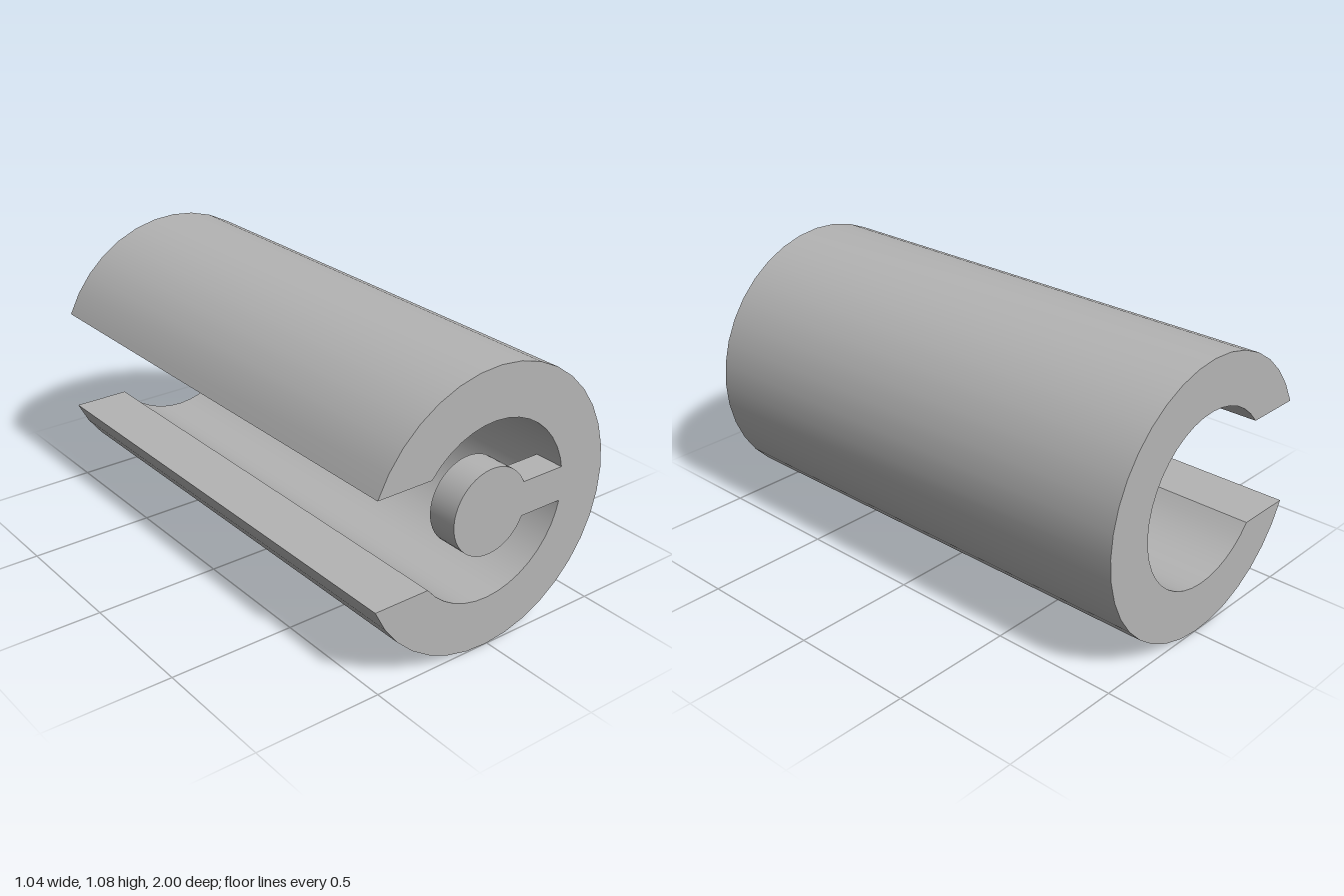
import * as THREE from 'three';
import { toCreasedNormals } from 'three/addons/utils/BufferGeometryUtils.js';

const OUTER = 0.54, INNER = 0.342, CORE = 0.166;
const SLOT = 0.208; // half height of the open slot
const WEB = 0.067; // half height of the web holding the core
const LENGTH = 2, CORE_DEPTH = 0.12;

// Extrude a profile along z with smooth curved walls and sharp edges
function extrude(shape, depth, curveSegments, material, name) {
  const geometry = new THREE.ExtrudeGeometry(shape, { depth, curveSegments, bevelEnabled: false });
  const mesh = new THREE.Mesh(toCreasedNormals(geometry, 0.5), material);
  mesh.name = name;
  return mesh;
}

export function createModel() {
  const group = new THREE.Group();
  group.name = 'slottedTube';
  const grey = new THREE.MeshStandardMaterial({ color: 0xb4b4b4 });
  grey.name = 'grey';

  // Tube: C-shaped ring with parallel slot walls, open towards -x
  const outerEnd = Math.PI - Math.asin(SLOT / OUTER);
  const innerEnd = Math.PI - Math.asin(SLOT / INNER);
  const ring = new THREE.Shape();
  ring.absarc(0, 0, OUTER, -outerEnd, outerEnd, false);
  ring.absarc(0, 0, INNER, innerEnd, -innerEnd, true);
  ring.closePath();
  const tube = extrude(ring, LENGTH, 16, grey, 'tube');
  tube.position.z = -LENGTH / 2;

  // Core: short round key with a web reaching the inner wall at the front
  const coreEnd = Math.asin(WEB / CORE);
  const webEnd = Math.asin(WEB / INNER);
  const key = new THREE.Shape();
  key.absarc(0, 0, CORE, coreEnd, Math.PI * 2 - coreEnd, false);
  key.absarc(0, 0, INNER, -webEnd, webEnd, false);
  key.closePath();
  const core = extrude(key, CORE_DEPTH, 20, grey, 'coreWithWeb');
  core.position.z = LENGTH / 2 - CORE_DEPTH;

  group.add(tube, core);
  group.children.forEach((part) => part.position.setX(-0.02).setY(OUTER));
  return group;
}
